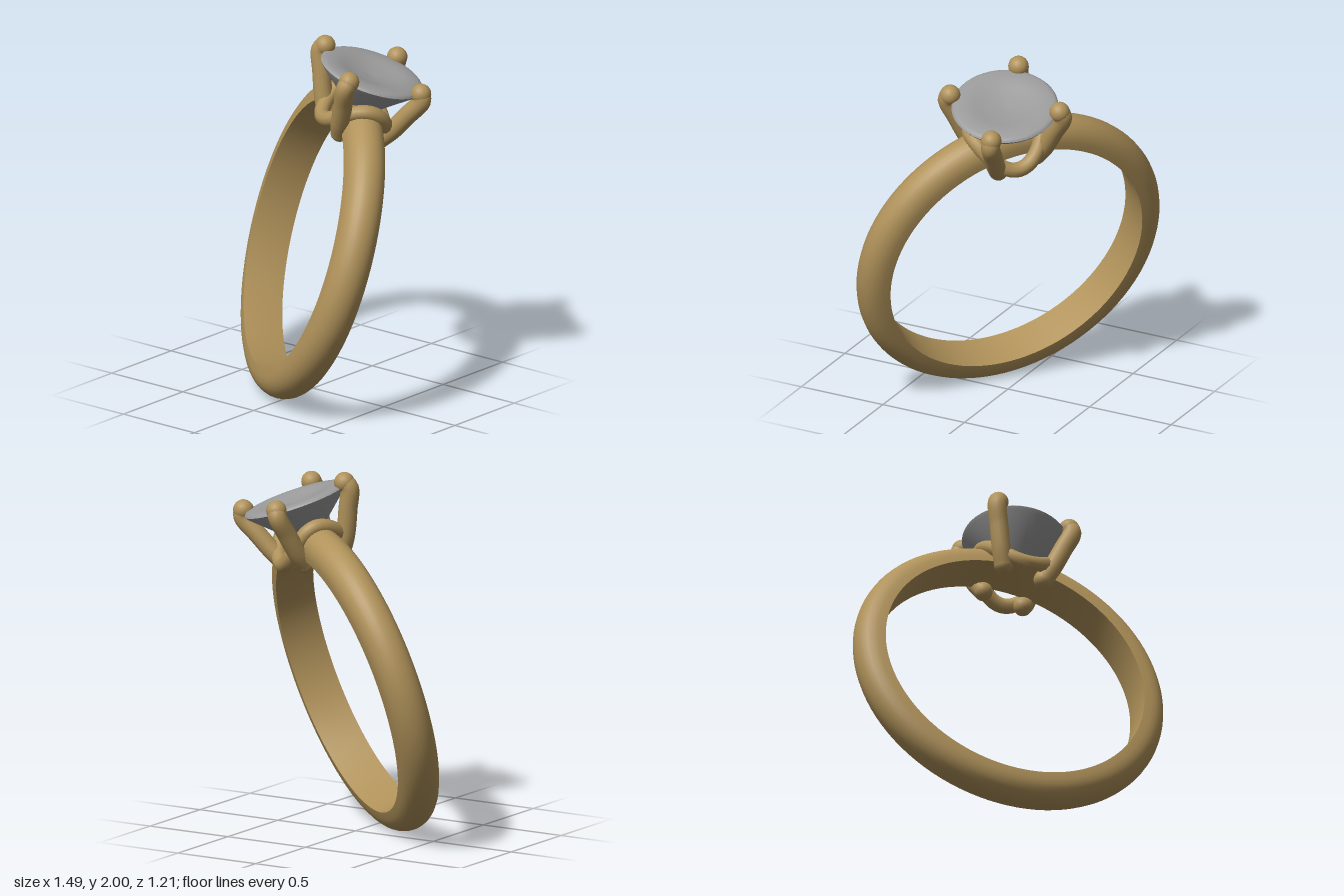
import * as THREE from 'three';
import { toCreasedNormals } from 'three/addons/utils/BufferGeometryUtils.js';

export function createModel() {
  const gold = new THREE.MeshStandardMaterial({ color: 0xb0925a });
  gold.name = 'gold';
  const grey = new THREE.MeshStandardMaterial({ color: 0x9a9a9a });
  grey.name = 'stone grey';

  const ring = new THREE.Group();
  ring.name = 'ring';
  const add = (name, geometry, material, parent = ring) => {
    const mesh = new THREE.Mesh(geometry, material);
    mesh.name = name;
    parent.add(mesh);
    return mesh;
  };
  const v2 = ([x, y]) => new THREE.Vector2(x, y);

  // Band: flat inside, domed outside, turned around the local z axis
  const inner = 0.745, thick = 0.142, half = 0.112;
  const section = [];
  for (let i = 0; i <= 14; i++) {
    const a = -Math.PI / 2 + (i / 14) * Math.PI;
    section.push([inner + thick * Math.pow(Math.max(0, Math.cos(a)), 0.8), half * Math.sin(a)]);
  }
  section.push([inner - 0.005, 0], section[0]);
  const band = new THREE.LatheGeometry(section.map(v2), 96).rotateX(Math.PI / 2);
  add('band', toCreasedNormals(band, 0.7), gold);

  // Stone: pointed below, with a softly dished top
  const lower = [[0, 0.77], [0.06, 0.8], [0.17, 0.905], [0.278, 1.005], [0.29, 1.022]];
  const top = new THREE.SplineCurve(
    [[0.29, 1.022], [0.27, 1.037], [0.2, 1.04], [0.1, 1.02], [0, 1.008]].map(v2)).getPoints(16);
  const stone = new THREE.LatheGeometry([...lower.map(v2), ...top.slice(1)], 48);
  add('stone', toCreasedNormals(stone, 0.6), grey);

  // Four prongs leaning outwards, with rounded tips hooked over the stone
  const prongRadius = 0.052;
  const path = new THREE.CatmullRomCurve3(
    [[0.17, 0.7], [0.215, 0.77], [0.275, 0.9], [0.322, 1.01], [0.305, 1.045]]
      .map(([x, y]) => new THREE.Vector3(x, y, 0)));
  const tube = new THREE.TubeGeometry(path, 28, prongRadius, 14);
  const ball = new THREE.SphereGeometry(prongRadius, 18, 12);
  for (let i = 0; i < 4; i++) {
    const prong = new THREE.Group();
    prong.name = 'prong';
    add('prongStem', tube, gold, prong);
    add('prongFoot', ball, gold, prong).position.copy(path.getPoint(0));
    const tip = add('prongTip', ball, gold, prong);
    tip.position.copy(path.getPoint(1));
    tip.scale.setScalar(1.08);
    prong.rotation.y = -THREE.MathUtils.degToRad(38 + 90 * i);
    ring.add(prong);
  }

  // Collar: a wavy wire that arches over the band and dips beside it
  const wave = [];
  for (let i = 0; i < 24; i++) {
    const a = (i / 24) * Math.PI * 2;
    wave.push(new THREE.Vector3(
      0.2 * Math.cos(a), 0.795 + 0.08 * Math.cos(2 * a), 0.185 * Math.sin(a)));
  }
  const collar = new THREE.CatmullRomCurve3(wave, true);
  add('collar', new THREE.TubeGeometry(collar, 72, 0.042, 10, true), gold);

  // Tilt of the whole ring: up points to the stone, axis runs through the band
  const up = new THREE.Vector3(0.291, 0.947, -0.137).normalize();
  const axis = new THREE.Vector3(0.58, -0.26, -0.77);
  const side = new THREE.Vector3().crossVectors(up, axis).normalize();
  axis.crossVectors(side, up);
  ring.quaternion.setFromRotationMatrix(new THREE.Matrix4().makeBasis(side, up, axis));
  ring.position.y = 0.86;

  const model = new THREE.Group();
  model.name = 'model';
  model.add(ring);
  return model;
}
